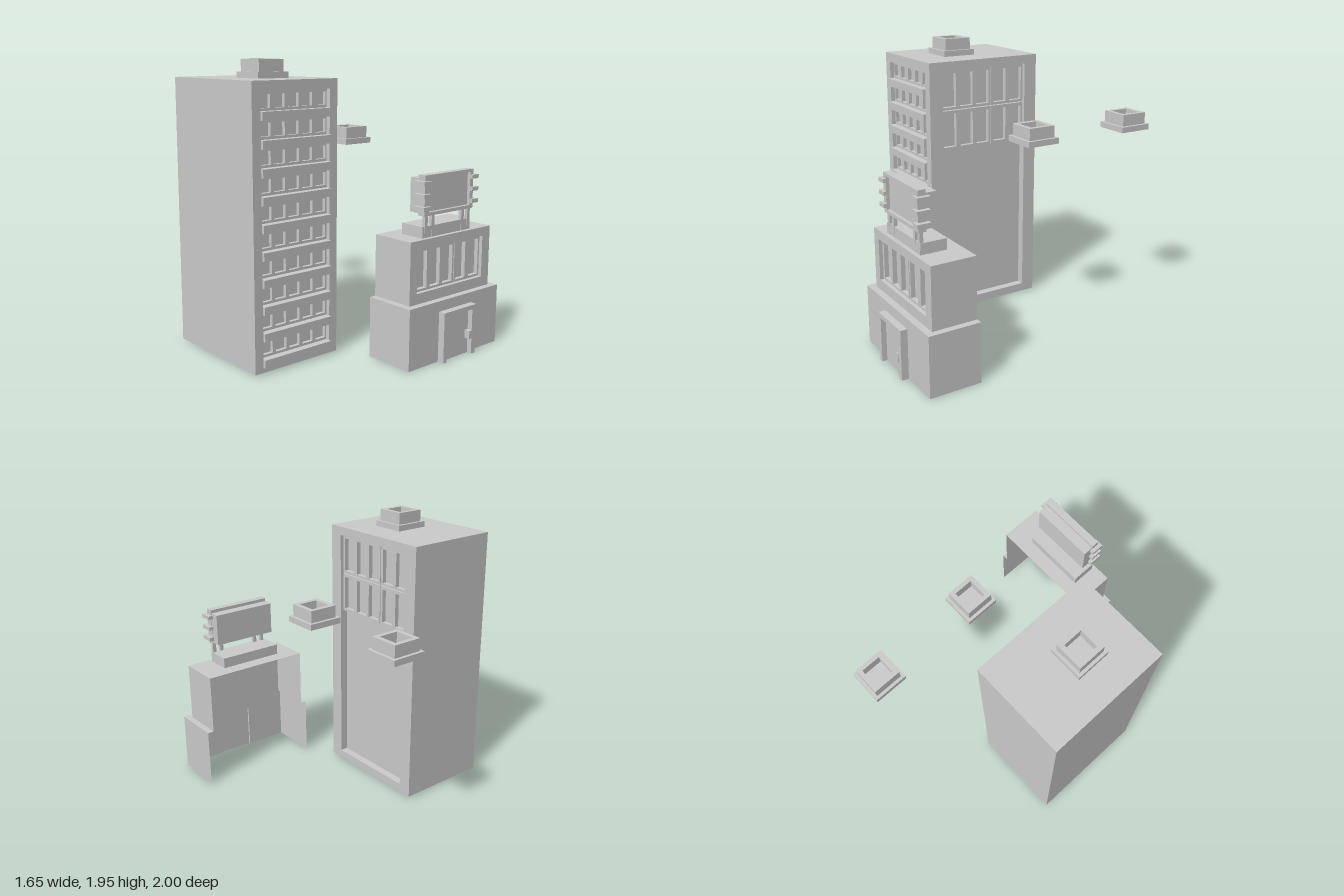
import * as THREE from 'three';
import { mergeGeometries } from 'three/addons/utils/BufferGeometryUtils.js';

const material = new THREE.MeshStandardMaterial({
  color: 0xcccccc, flatShading: true, side: THREE.DoubleSide,
});

// Rectangles are [x0, x1, y0, y1]
const corners = ([x0, x1, y0, y1]) => [[x0, y0], [x1, y0], [x1, y1], [x0, y1]].map((p) => new THREE.Vector2(...p));

function rectShape(rect, holes = []) {
  const shape = new THREE.Shape(corners(rect));
  shape.holes = holes.map((h) => new THREE.Path(corners(h).reverse()));
  return shape;
}

// Flat wall facing +z, with openings
const face = (rect, z, holes) => new THREE.ShapeGeometry(rectShape(rect, holes)).translate(0, 0, z);

// Slab with openings, between two depths
const slab = (rect, z0, z1, holes) =>
  new THREE.ExtrudeGeometry(rectShape(rect, holes), { depth: z1 - z0, bevelEnabled: false }).translate(0, 0, z0);

// Four sides of a recess
function reveal([x0, x1, y0, y1], z0, z1) {
  const r = Math.SQRT1_2;
  return new THREE.CylinderGeometry(r, r, 1, 4, 1, true)
    .rotateY(Math.PI / 4).rotateX(Math.PI / 2)
    .scale(x1 - x0, y1 - y0, z1 - z0)
    .translate((x0 + x1) / 2, (y0 + y1) / 2, (z0 + z1) / 2);
}

// Wall with one recessed rectangle
const recessedWall = (rect, hole, z, depth) => mergeGeometries([
  face(rect, z, [hole]), reveal(hole, z - depth, z), face(hole, z - depth),
]);

function box(x0, x1, y0, y1, z0, z1) {
  return new THREE.BoxGeometry(x1 - x0, y1 - y0, z1 - z0)
    .translate((x0 + x1) / 2, (y0 + y1) / 2, (z0 + z1) / 2);
}

// Box that keeps only the listed sides (0 +x, 1 -x, 2 +y, 3 -y, 4 +z, 5 -z)
function shell(sides, ...extent) {
  const geometry = box(...extent);
  const index = Array.from(geometry.index.array);
  geometry.setIndex(sides.flatMap((s) => index.slice(s * 6, s * 6 + 6)));
  geometry.clearGroups();
  return geometry;
}

function add(parent, name, geometry) {
  const mesh = new THREE.Mesh(geometry, material);
  mesh.name = name;
  parent.add(mesh);
  return mesh;
}

function group(parent, name) {
  const g = new THREE.Group();
  g.name = name;
  parent.add(g);
  return g;
}

// Pane openings from their centres along x
const panes = (centres, width, y0, y1) => centres.map((c) => [c - width / 2, c + width / 2, y0, y1]);

function addVent(parent, x, y, z) {
  // Stepped square collar with a sunken top, open below
  const profile = [[0.119, 0], [0.119, 0.04], [0.098, 0.04], [0.098, 0.12], [0.067, 0.12], [0.067, 0.04], [0, 0.04]]
    .map(([r, h]) => new THREE.Vector2(r * Math.SQRT2, h));
  const vent = add(parent, 'roofVent', new THREE.LatheGeometry(profile, 4).rotateY(Math.PI / 4));
  vent.position.set(x, y, z);
}

function addTower(parent) {
  const tower = group(parent, 'tower');
  const [x0, x1, y0, y1, z0, z1] = [-0.83, -0.16, 0.01, 1.83, -0.48, 0.385];
  add(tower, 'towerShell', shell([1, 2, 5], x0, x1, y0, y1, z0, z1));

  // Front: ten floors of windows separated by ledges
  const depth = 0.055, pitch = 0.1723, base = 0.043;
  const left = -0.767, right = -0.223;
  add(tower, 'towerFront', recessedWall([x0, x1, y0, y1], [left, right, base, base + pitch * 10], z1, depth));
  const centres = [0, 1, 2, 3, 4].map((i) => -0.714 + i * 0.1095);
  for (let i = 0; i < 10; i++) {
    const y = base + i * pitch;
    add(tower, 'floorLedge', box(left, right, y, y + 0.0535, z1 - depth, 0.405));
    add(tower, 'windowRow', slab([left, right, y + 0.0535, y + pitch], z1 - depth, z1 - 0.03,
      panes(centres, 0.084, y + 0.07, y + 0.154)));
  }

  // Side: tall recess with two window rows at the top
  const side = group(tower, 'towerSide');
  side.rotation.y = Math.PI / 2;
  add(side, 'sideWall', recessedWall([-z1, -z0, y0, y1], [-0.287, 0.383, 0.07, 1.77], x1, depth));
  const bays = [
    [[-0.287, 0.111], [-0.219, -0.086, 0.043]],
    [[0.117, 0.383], [0.187, 0.318]],
  ];
  for (const y of [1.212, 1.493]) {
    for (const [[a, b], mids] of bays) {
      add(side, 'sideWindows', slab([a, b, y, y + 0.275], x1 - depth, x1 - 0.025,
        panes(mids, 0.1, y + 0.018, y + 0.253)));
    }
  }
  addVent(tower, -0.49, y1, 0.031);
}

function addShop(parent) {
  const shop = group(parent, 'shop');
  const back = 0.59, lowFront = 0.947, upFront = 0.9;

  // Lower storey, open at the back and below
  const frame = [0.23, 0.545, 0, 0.34], opening = [0.26, 0.508, 0, 0.31];
  add(shop, 'lowerSides', shell([0, 1], -0.045, 0.825, 0, 0.41, back, lowFront));
  add(shop, 'lowerFront', face([-0.045, 0.825, 0, 0.41], lowFront, [frame]));
  for (const [a, b, c, d] of [[-0.045, 0, back, lowFront], [0.78, 0.825, back, lowFront], [0, 0.78, upFront, lowFront]]) {
    add(shop, 'ledge', shell([2], a, b, 0.4, 0.41, c, d));
  }

  // Doorway
  const doorFrame = group(shop, 'doorFrame');
  add(doorFrame, 'frameLintel', box(frame[0], frame[1], opening[3], frame[3], lowFront, 0.995));
  add(doorFrame, 'frameJamb', box(frame[0], opening[0], 0, opening[3], lowFront, 0.995));
  add(doorFrame, 'frameJamb', box(opening[1], frame[1], 0, opening[3], lowFront, 0.995));
  add(shop, 'door', face(opening, 0.96));
  add(shop, 'doorHandle', box(0.478, 0.51, 0.11, 0.165, 0.96, 1));

  // Upper storey with a recessed window band
  add(shop, 'upperShell', shell([0, 1, 2], 0, 0.78, 0.41, 0.826, back, upFront));
  add(shop, 'upperFront', recessedWall([0, 0.78, 0.41, 0.826], [0.065, 0.705, 0.48, 0.765], upFront, 0.055));
  for (const [a, b, mids] of [[0.065, 0.443, [0.134, 0.258, 0.381]], [0.449, 0.705, [0.511, 0.645]]]) {
    add(shop, 'shopWindows', slab([a, b, 0.482, 0.763], upFront - 0.055, upFront - 0.025,
      panes(mids, 0.095, 0.497, 0.745)));
  }
  add(shop, 'roofPlinth', box(0.137, 0.6, 0.826, 0.9, 0.692, 0.87));
}

function addBillboard(parent) {
  const board = group(parent, 'billboard');
  for (const x of [0.17, 0.233, 0.523, 0.583]) {
    add(board, 'post', box(x - 0.013, x + 0.013, 0.826, 0.975, 0.848, 0.872));
  }
  const panel = [0.178, 0.575, 0.992, 1.213];
  add(board, 'boardFrame', slab([0.137, 0.606, 0.97, 1.233], 0.83, 0.884, [panel]));
  add(board, 'boardPanel', face(panel, 0.862));
  add(board, 'boardBacking', box(0.14, 0.603, 0.985, 1.21, 0.757, 0.831));
  // Brackets gripping both sides
  for (const y of [1.02, 1.101, 1.183]) {
    add(board, 'bracket', box(0.11, 0.178, y - 0.013, y + 0.013, 0.812, 0.904));
    add(board, 'bracket', box(0.575, 0.637, y - 0.013, y + 0.013, 0.812, 0.904));
  }
}

export function createModel() {
  const model = new THREE.Group();
  model.name = 'cityBlock';
  addTower(model);
  addShop(model);
  addBillboard(model);
  addVent(model, 0.367, 1.34, -0.881);
  addVent(model, 0.367, 1.34, -0.098);
  return model;
}
